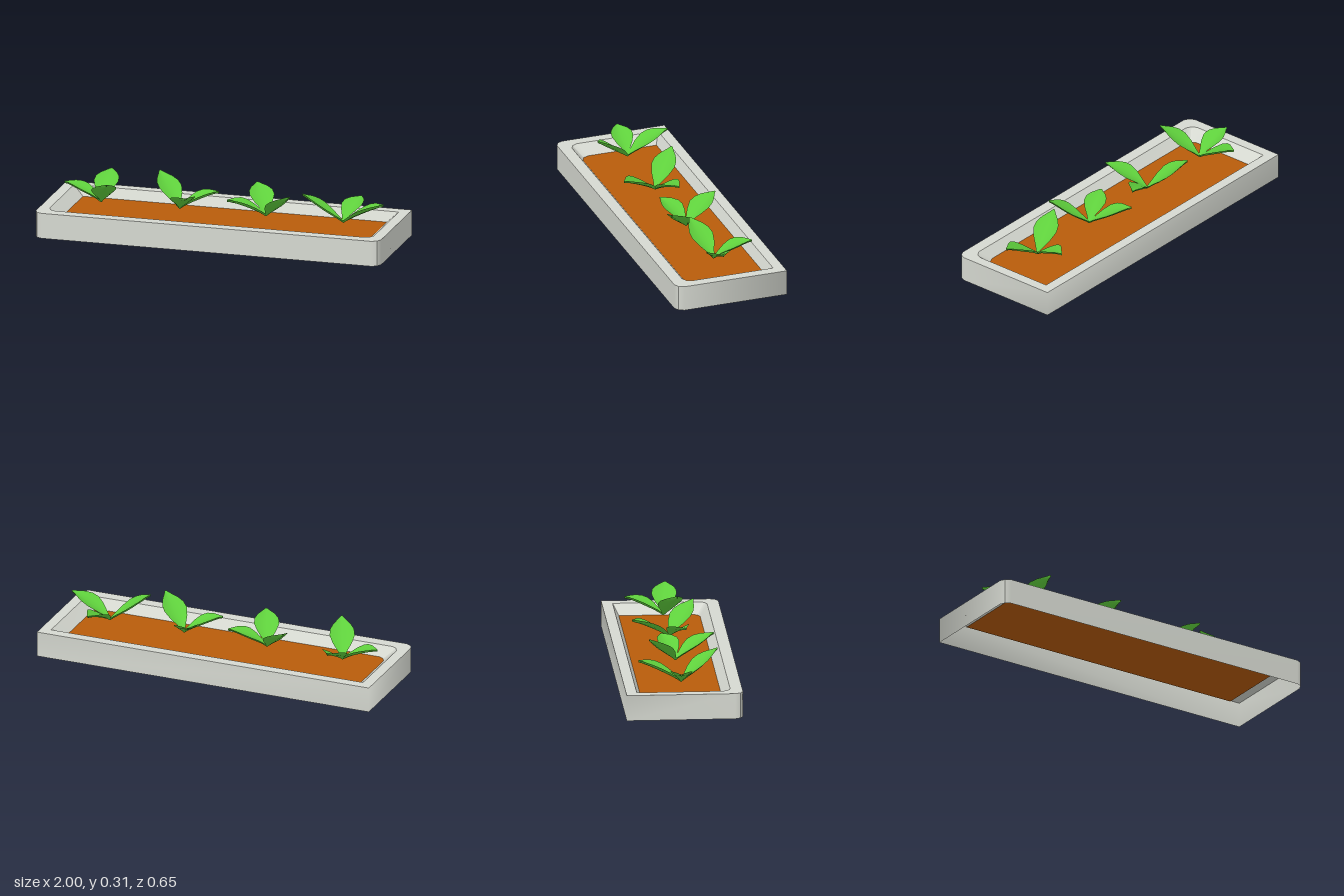
import * as THREE from 'three';
import { mergeGeometries } from 'three/addons/utils/BufferGeometryUtils.js';

const material = (name, color) => {
  const m = new THREE.MeshStandardMaterial({ color, side: THREE.DoubleSide });
  m.name = name;
  return m;
};

// Tray outline: rounded front corners, square back corners
function outline(x, back, front, y) {
  return [
    [-x + 0.015, front - 0.015], [-x + 0.045, front], [x - 0.045, front], [x - 0.015, front - 0.015],
    [x, front - 0.045], [x, back], [-x, back], [-x, front - 0.045], [-x + 0.015, front - 0.015],
  ].map(([px, pz]) => new THREE.Vector3(px, y, pz));
}

// Smooth surface through rows of points
function sheet(rows, flip = false) {
  const n = rows[0].length, index = [];
  for (let j = 0; j < rows.length - 1; j++) {
    for (let i = 0; i < n - 1; i++) {
      const a = j * n + i, b = a + 1, c = a + n, d = c + 1;
      if (flip) index.push(a, d, b, a, c, d);
      else index.push(a, b, d, a, d, c);
    }
  }
  const g = new THREE.BufferGeometry().setFromPoints(rows.flat());
  g.setIndex(index);
  g.computeVertexNormals();
  g.deleteAttribute('uv');
  return g;
}

// Band between two outlines, creased at the given point numbers
function band(lower, upper, creases) {
  const parts = [];
  for (let k = 0; k < creases.length - 1; k++) {
    const cut = (ring) => ring.slice(creases[k], creases[k + 1] + 1);
    parts.push(sheet([cut(lower), cut(upper)]));
  }
  return mergeGeometries(parts);
}

// Cupped, arching leaf that grows along +x
function leafGeometry(length, height, arch, width) {
  const profile = [[0, 0.1], [0.12, 0.36], [0.28, 0.75], [0.45, 1], [0.6, 0.95], [0.75, 0.68], [0.9, 0.28], [1, 0.05]];
  const across = [-1, -0.5, 0, 0.5, 1];
  const rows = (under) => profile.map(([t, w]) => across.map((s) => new THREE.Vector3(
    length * t,
    height * t * (1 + arch * (1 - t)) + 0.022 * w * (s * s - 0.4) - under * 0.01 * (1 - s * s),
    -s * w * width,
  )));
  return mergeGeometries([sheet(rows(0), true), sheet(rows(1))]);
}

export function createModel() {
  const model = new THREE.Group();
  model.name = 'planter';
  const stone = material('pale grey stone', 0xd5d8d0);
  const earth = material('brown soil', 0xb85c0a);
  const green = material('leaf green', 0x5fd03c);

  const add = (parent, name, geometry, mat) => {
    const mesh = new THREE.Mesh(geometry, mat);
    mesh.name = name;
    parent.add(mesh);
    return mesh;
  };

  // Open-bottomed tray
  const soilY = 0.09, rimY = 0.145;
  const foot = outline(1, -0.325, 0.325, 0);
  const rim = outline(1, -0.325, 0.325, rimY);
  const lip = outline(0.94, -0.265, 0.258, rimY);
  const bed = outline(0.88, -0.235, 0.215, soilY);
  add(model, 'outerWall', band(foot, rim, [0, 3, 8]), stone);
  add(model, 'rim', band(rim, lip, [0, 8]), stone);
  add(model, 'innerSlope', band(lip, bed, [0, 3, 5, 6, 8]), stone);

  // Soil
  const soilShape = new THREE.Shape(bed.slice(0, 8).map((p) => new THREE.Vector2(p.x, -p.z)));
  const soil = add(model, 'soil', new THREE.ShapeGeometry(soilShape).rotateX(-Math.PI / 2), earth);
  soil.position.y = soilY;

  // Seedlings: the same three leaves, turned differently
  const leaves = [
    { turn: 0, name: 'tallLeaf', geometry: leafGeometry(0.227, 0.157, 0.2, 0.07) },
    { turn: 118, name: 'lowLeaf', geometry: leafGeometry(0.217, 0.09, 0.9, 0.062) },
    { turn: 202, name: 'middleLeaf', geometry: leafGeometry(0.24, 0.12, 0.55, 0.07) },
  ];
  [[-0.705, 66], [-0.25, 224], [0.25, 40], [0.697, 164]].forEach(([x, angle], i) => {
    const plant = new THREE.Group();
    plant.name = `seedling${i + 1}`;
    plant.position.set(x, 0.148, 0);
    for (const { turn, name, geometry } of leaves) {
      const leaf = add(plant, name, geometry, green);
      leaf.rotation.y = -THREE.MathUtils.degToRad(angle + turn);
    }
    model.add(plant);
  });

  return model;
}
